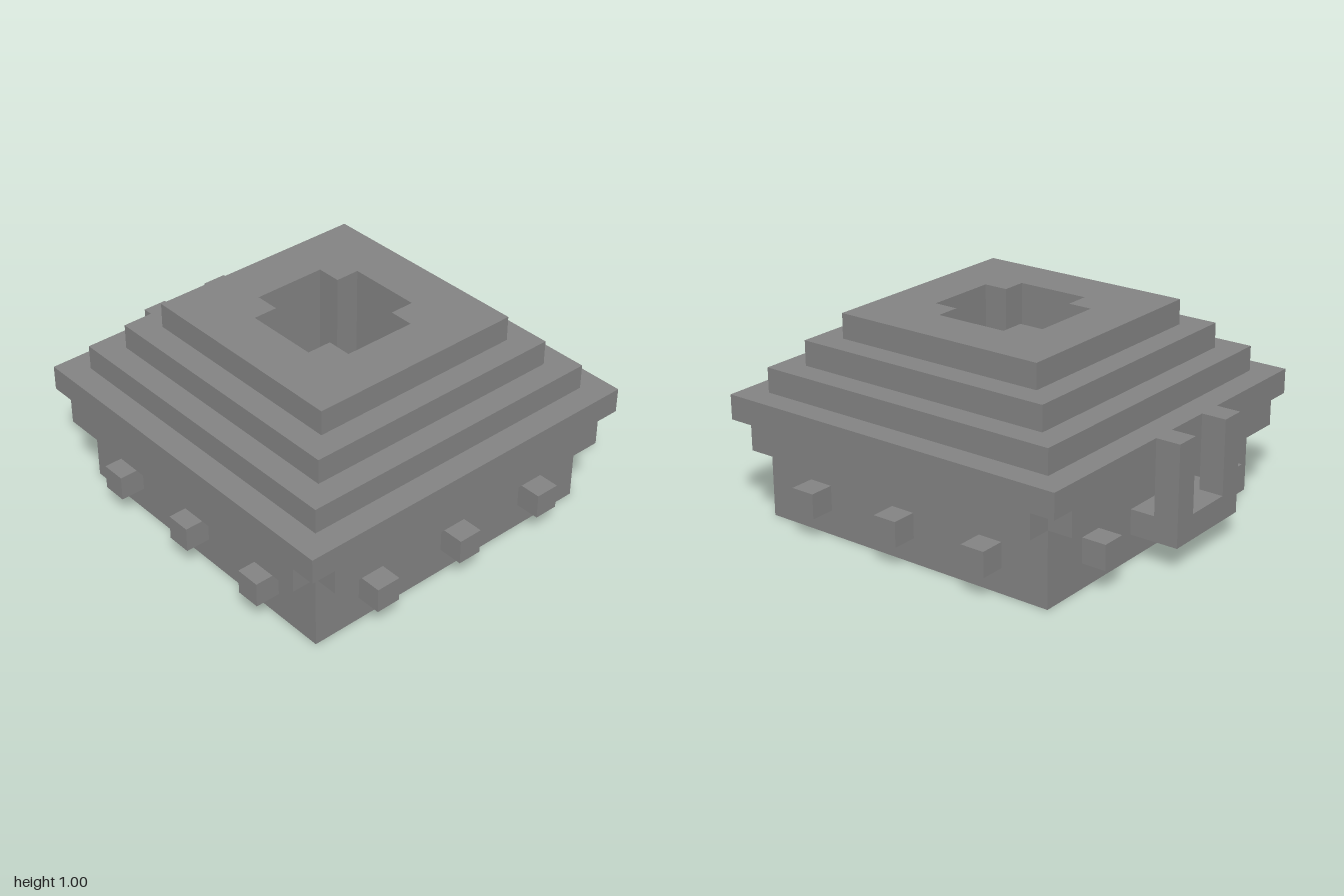
import * as THREE from 'three';

const U = 0.125; // block size
const CX = 0.5; // body centre, in blocks

export function createModel() {
  const model = new THREE.Group();
  const stone = new THREE.MeshStandardMaterial({ color: 0x838383 });
  stone.name = 'grey stone';

  const add = (name, geometry) => {
    const mesh = new THREE.Mesh(geometry, stone);
    mesh.name = name;
    model.add(mesh);
    return mesh;
  };

  // Box given by its limits in blocks
  const block = (name, x0, x1, y0, y1, z0, z1) =>
    add(name, new THREE.BoxGeometry((x1 - x0) * U, (y1 - y0) * U, (z1 - z0) * U))
      .position.set((x0 + x1) / 2 * U, (y0 + y1) / 2 * U, (z0 + z1) / 2 * U);

  // Square outline with a square notch of the given size at each corner
  const outline = (half, notch = 0) => {
    const points = [];
    const inner = half - notch;
    for (const [sx, sz] of [[1, 1], [-1, 1], [-1, -1], [1, -1]]) {
      const corner = notch
        ? [[half, inner], [inner, inner], [inner, half]]
        : [[half, half]];
      if (sx * sz < 0) corner.reverse();
      for (const [x, z] of corner) points.push(new THREE.Vector2(sx * x * U, sz * z * U));
    }
    return points;
  };

  // Horizontal slab with an opening, from y0 to y1 in blocks
  const slab = (name, y0, y1, outer, hole) => {
    const shape = new THREE.Shape(outer);
    shape.holes.push(new THREE.Path(hole));
    const geometry = new THREE.ExtrudeGeometry(shape, { depth: (y1 - y0) * U, bevelEnabled: false });
    geometry.rotateX(-Math.PI / 2);
    geometry.translate(CX * U, y0 * U, 0);
    add(name, geometry);
  };

  // Stacked body around a cross-shaped shaft
  const shaft = outline(2.5, 1);
  slab('baseRim', 0, 1, outline(6.5), outline(5.5));
  slab('body', 1, 3, outline(6.5), shaft);
  slab('lowerLedge', 3, 4, outline(7.5, 1), shaft);
  slab('upperLedge', 4, 5, outline(7.5), shaft);
  [6.5, 5.5, 4.5].forEach((half, i) => slab('roofStep', 5 + i, 6 + i, outline(half), shaft));

  // Ribs under the base, from the rim to the shaft
  for (const s of [-1, 1]) {
    const a = Math.min(s * 2.5, s * 5.5);
    block('baseRib', CX + a, CX + a + 3, 0, 1, -0.5, 0.5);
    block('baseRib', CX - 0.5, CX + 0.5, 0, 1, a, a + 3);
  }

  // Row of pegs on every side
  for (const s of [-1, 1]) {
    const a = s > 0 ? 6.5 : -7.5;
    for (const p of [-4, 0, 4]) {
      block('peg', CX + p - 0.5, CX + p + 0.5, 1, 2, a, a + 1);
      if (s > 0 || p !== 0) block('peg', CX + a, CX + a + 1, 1, 2, p - 0.5, p + 0.5);
    }
  }

  // U-shaped bracket on one side
  block('bracketBase', -8, -6, 1, 2, -1.5, 2.5);
  for (const z of [-1.5, 1.5]) block('bracketPost', -8, -7, 2, 5, z, z + 1);

  return model;
}
